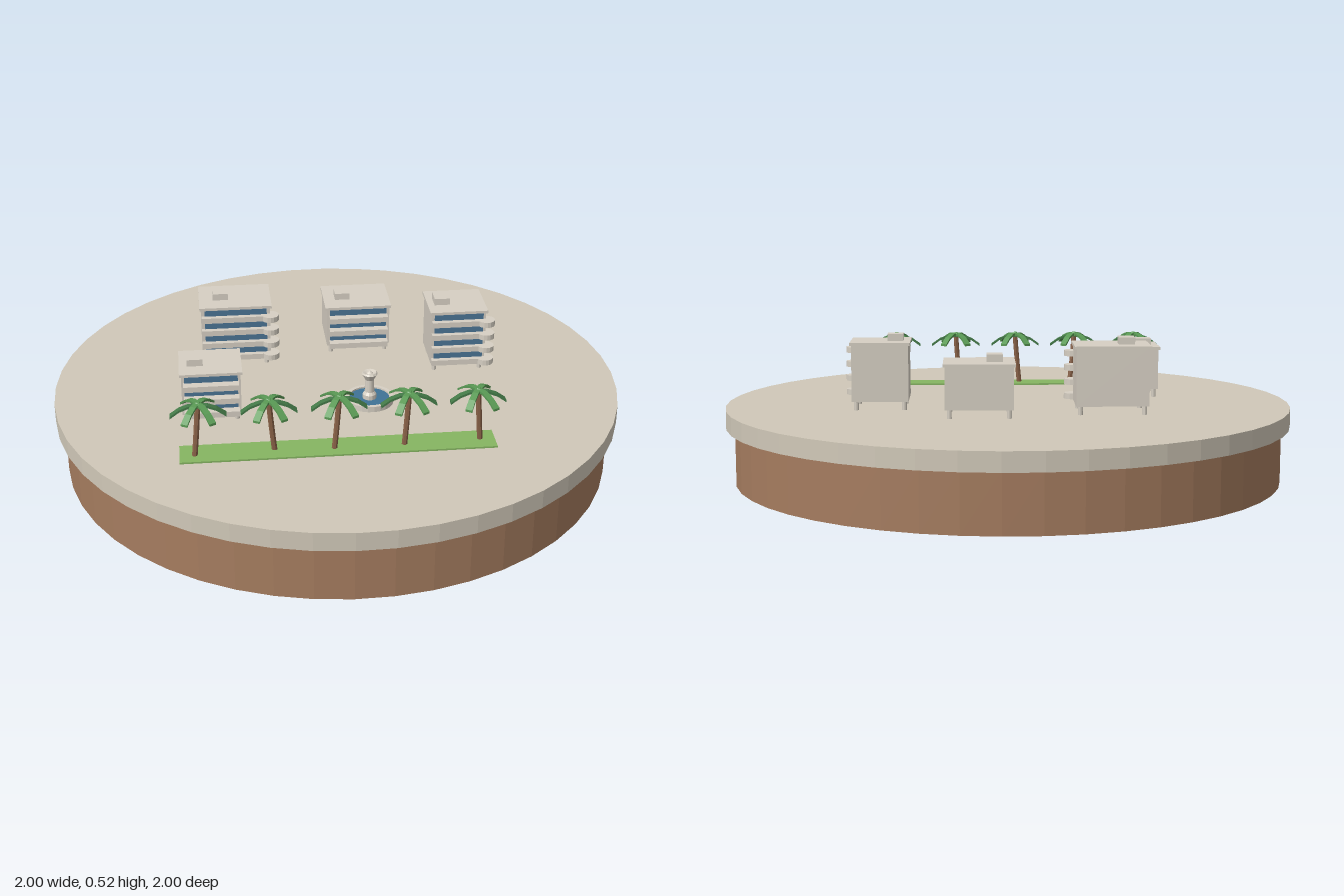
import * as THREE from 'three';

const paint = (name, color) => {
  const m = new THREE.MeshStandardMaterial({ color, flatShading: true });
  m.name = name;
  return m;
};
const soil = paint('soil', 0xa57c5f);
const paving = paint('paving', 0xd0c8b8);
const concrete = paint('concrete', 0xd6cfc3);
const glass = paint('glass', 0x4a7394);
const water = paint('water', 0x3f7396);
const grass = paint('grass', 0x86b562);
const bark = paint('bark', 0x8a6248);
const leaf = paint('leaf', 0x5a9a55);
const leafDark = paint('dark leaf', 0x447a48);

const GROUND = 0.265;
const TURN = -THREE.MathUtils.degToRad(20);

function add(parent, name, geometry, material, x = 0, y = 0, z = 0) {
  const mesh = new THREE.Mesh(geometry, material);
  mesh.name = name;
  mesh.position.set(x, y, z);
  parent.add(mesh);
  return mesh;
}
const box = (w, h, d) => new THREE.BoxGeometry(w, h, d);
const cyl = (rt, rb, h, n) => new THREE.CylinderGeometry(rt, rb, h, n);

// Apartment block on short stilts; w and d are the roof size
function building(x, z, w, d, floors, rounded) {
  const g = new THREE.Group();
  g.name = 'building';
  g.position.set(x, GROUND, z);
  g.rotation.y = TURN;
  const stilt = 0.03, floorH = 0.05, h = floors * floorH;
  const bw = w - 0.012, bd = d - 0.012, front = bd / 2;

  for (const sx of [-1, 1]) for (const sz of [-1, 1])
    add(g, 'stilt', cyl(0.008, 0.008, stilt, 8), concrete, sx * (bw / 2 - 0.015), stilt / 2, sz * (bd / 2 - 0.015));
  add(g, 'walls', box(bw, h, bd), concrete, 0, stilt + h / 2, 0);
  add(g, 'roofSlab', box(w, 0.01, d), concrete, 0, stilt + h, 0);
  add(g, 'roofHut', box(0.055, 0.025, 0.06), concrete, -0.052, stilt + h + 0.0165, 0);

  for (let i = 0; i < floors; i++) {
    const y = stilt + i * floorH;
    add(g, 'windowBand', box(bw * 0.9, 0.022, 0.006), glass, 0, y + 0.034, front + 0.002);
    if (rounded) {
      // Shallow balcony ending in a round corner
      add(g, 'balcony', box(bw, 0.02, 0.024), concrete, 0, y + 0.012, front + 0.01);
      add(g, 'roundBalcony', cyl(0.031, 0.031, 0.02, 16), concrete, bw / 2, y + 0.012, front + 0.008);
    } else {
      add(g, 'balcony', box(w * 0.88, 0.02, 0.034), concrete, 0, y + 0.012, front + 0.017);
    }
  }
  return g;
}

// Drooping frond: a bent, slightly tapered plate reaching out along +x
function frondGeometry() {
  const geo = box(0.092, 0.008, 0.024, 1).toNonIndexed && new THREE.BoxGeometry(0.092, 0.008, 0.024, 3, 1, 1);
  geo.translate(0.046, 0, 0);
  const p = geo.attributes.position;
  for (let i = 0; i < p.count; i++) {
    const t = p.getX(i) / 0.092;
    p.setY(i, p.getY(i) + 0.012 * t - 0.047 * t * t);
    p.setZ(i, p.getZ(i) * (0.8 + 0.2 * t));
  }
  geo.computeVertexNormals();
  return geo;
}
const frond = frondGeometry();

function palm(x, z, lean) {
  const g = new THREE.Group();
  g.name = 'palm';
  g.position.set(x, GROUND, z);
  const top = 0.19;
  const path = new THREE.QuadraticBezierCurve3(
    new THREE.Vector3(-lean, 0, 0),
    new THREE.Vector3(-lean * 0.4, top * 0.5, 0),
    new THREE.Vector3(0, top, 0));
  add(g, 'trunk', new THREE.TubeGeometry(path, 4, 0.0095, 7), bark);
  add(g, 'crown', new THREE.IcosahedronGeometry(0.013, 0), leaf, 0, top, 0);
  for (let i = 0; i < 6; i++) {
    const dark = i % 3 === 0;
    const f = add(g, 'frond', frond, dark ? leafDark : leaf, 0, top + (dark ? -0.004 : 0.003), 0);
    f.rotation.y = TURN + i * Math.PI / 3;
  }
  return g;
}

function fountain(x, z) {
  const g = new THREE.Group();
  g.name = 'fountain';
  g.position.set(x, GROUND, z);
  const lathe = (pts, n) => new THREE.LatheGeometry(pts.map(([r, y]) => new THREE.Vector2(r, y)), n);
  add(g, 'basin', lathe([[0.084, 0], [0.084, 0.02], [0.07, 0.02], [0.07, 0.008]], 24), concrete);
  add(g, 'water', cyl(0.071, 0.071, 0.012, 24), water, 0, 0.008, 0);
  add(g, 'pedestal', lathe([[0.024, 0], [0.024, 0.03], [0.017, 0.04], [0.015, 0.085],
    [0.028, 0.108], [0.024, 0.114], [0.012, 0.11], [0, 0.12]], 12), concrete);
  return g;
}

export function createModel() {
  const model = new THREE.Group();
  model.name = 'plazaIsland';

  // Round ground
  add(model, 'soilDisc', cyl(0.97, 0.97, 0.2, 48), soil, 0, 0.1, 0);
  add(model, 'pavingDisc', cyl(1, 1, 0.065, 48), paving, 0, 0.2325, 0);

  // Buildings around the square
  model.add(
    building(-0.243, -0.348, 0.26, 0.195, 4, true),
    building(0.205, -0.257, 0.243, 0.2, 3, false),
    building(-0.484, 0.01, 0.213, 0.185, 3, false),
    building(0.46, 0.04, 0.208, 0.19, 4, true),
    fountain(0.035, 0.195));

  // Lawn with a row of palms
  const lawn = add(model, 'lawn', box(1.05, 0.008, 0.11), grass, -0.205, GROUND + 0.002, 0.44);
  lawn.rotation.y = TURN;
  const leans = [0.018, -0.018, 0.018, 0.014, -0.014];
  leans.forEach((lean, i) => model.add(palm(-0.637 + i * 0.2165, 0.287 + i * 0.078, lean)));

  return model;
}
